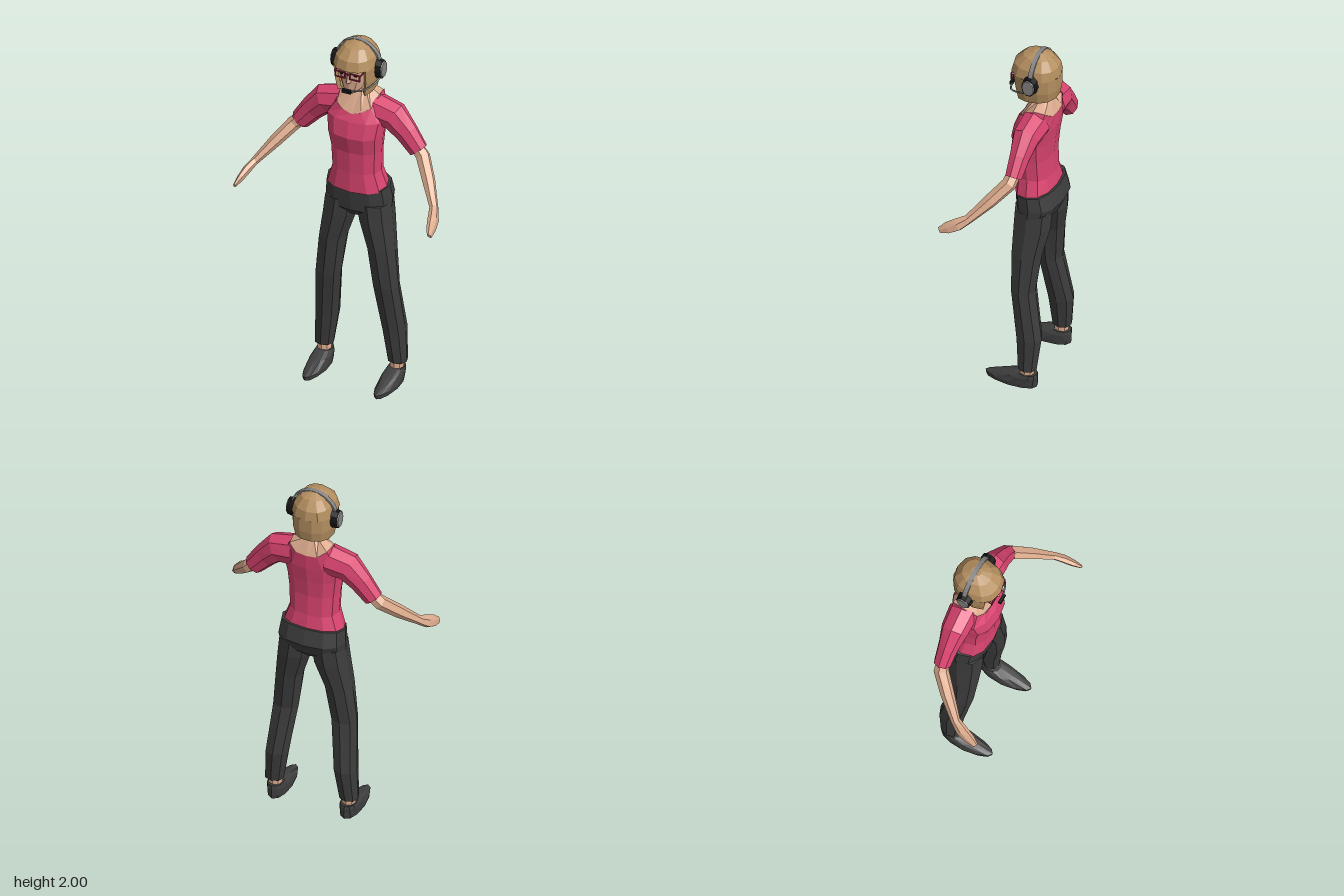
import * as THREE from 'three';

const V = (x, y, z) => new THREE.Vector3(x, y, z);
const mat = (name, color, side = THREE.FrontSide) => {
  const m = new THREE.MeshStandardMaterial({ color, side });
  m.name = name;
  return m;
};

// Faceted skin over a list of equal cross-sections, capped when closed
function loft(rings, closed = true) {
  const pos = [], n = rings[0].length;
  const tri = (...p) => p.forEach(v => pos.push(v.x, v.y, v.z));
  for (let r = 0; r < rings.length - 1; r++) {
    const A = rings[r], B = rings[r + 1];
    for (let i = 0; i < (closed ? n : n - 1); i++) {
      const j = (i + 1) % n;
      tri(A[i], A[j], B[j]);
      tri(A[i], B[j], B[i]);
    }
  }
  if (closed) {
    const mid = R => R.reduce((s, p) => s.add(p), V(0, 0, 0)).divideScalar(n);
    const A = rings[0], B = rings[rings.length - 1], a = mid(A), b = mid(B);
    for (let i = 0; i < n; i++) {
      const j = (i + 1) % n;
      tri(a, A[j], A[i]);
      tri(b, B[i], B[j]);
    }
  }
  const g = new THREE.BufferGeometry();
  g.setAttribute('position', new THREE.Float32BufferAttribute(pos, 3));
  g.computeVertexNormals();
  return g;
}

// Point on a rounded horizontal section; tilt raises the back
function onRing(a, y, cx, rx, zf, zb, tilt = 0, p = 0.85) {
  const s = Math.sin(a), c = Math.cos(a);
  const k = v => Math.sign(v) * Math.abs(v) ** p;
  return V(cx + rx * k(s), y + tilt * (1 - c) / 2, (zf + zb) / 2 + (zf - zb) / 2 * k(c));
}
const ring = (n, ...args) =>
  Array.from({ length: n }, (_, i) => onRing(i / n * Math.PI * 2, ...args));
const stack = (n, rows) => loft(rows.map(r => ring(n, ...r)));

// Limb along a path of [x, y, z, radius up/out, radius front/back]
function limb(path, n = 8) {
  const P = path.map(p => V(p[0], p[1], p[2]));
  return loft(path.map((p, i) => {
    const t = P[Math.min(i + 1, P.length - 1)].clone().sub(P[Math.max(i - 1, 0)]).normalize();
    const u = V(0, 0, 1).cross(t).normalize(), v = t.clone().cross(u);
    return Array.from({ length: n }, (_, k) => {
      const a = k / n * Math.PI * 2;
      return P[i].clone().addScaledVector(u, p[3] * Math.cos(a)).addScaledVector(v, p[4] * Math.sin(a));
    });
  }));
}

// Mirror across x, restoring the corner order
function mirror(geo) {
  const g = geo.index ? geo.toNonIndexed() : geo.clone();
  const p = g.attributes.position;
  for (let i = 0; i < p.count; i += 3) {
    const a = [0, 2, 1].map(k => [-p.getX(i + k), p.getY(i + k), p.getZ(i + k)]);
    a.forEach((v, k) => p.setXYZ(i + k, ...v));
  }
  g.computeVertexNormals();
  return g;
}

export function createModel() {
  const model = new THREE.Group();
  model.name = 'woman';
  const skin = mat('skin', 0xdcab8d), hair = mat('hair', 0xb58f60, THREE.DoubleSide);
  const pink = mat('shirt pink', 0xd9446f, THREE.DoubleSide), dark = mat('trouser grey', 0x3c3c3c);
  const shoeGrey = mat('shoe grey', 0x3f3f40), metal = mat('headset grey', 0x858585);
  const black = mat('black', 0x151515), frame = mat('glasses red', 0xa3204c);
  const add = (name, geo, m) => {
    const mesh = new THREE.Mesh(geo, m);
    mesh.name = name;
    model.add(mesh);
    return mesh;
  };
  const pair = (name, geo, m) => {
    add('left' + name, geo, m);
    add('right' + name, mirror(geo), m);
  };

  // Shirt body with an open scooped neckline
  const half = [[0, 1.595, 0.005], [0.055, 1.612, 0], [0.1, 1.635, -0.025], [0.115, 1.69, -0.1],
    [0.108, 1.685, -0.165], [0.06, 1.65, -0.187], [0, 1.645, -0.19]].map(p => V(...p));
  const neckline = [...half, ...half.slice(1, 6).reverse().map(p => V(-p.x, p.y, p.z))];
  const body = [
    [1.135, 0, 0.168, 0.022, -0.188, 0.035], [1.25, 0, 0.135, 0.02, -0.172], [1.37, 0, 0.14, 0.024, -0.166],
    [1.47, 0, 0.152, 0.05, -0.176], [1.56, 0, 0.165, 0.03, -0.188],
  ].map(r => ring(12, ...r));
  const wrap = r => [...r, r[0]];
  add('shirtBody', loft([...body, neckline].map(wrap), false), pink);

  // Sleeves and arms
  pair('Sleeve', limb([[0.09, 1.6, -0.105, 0.088, 0.08], [0.2, 1.58, -0.1, 0.082, 0.073],
    [0.27, 1.505, -0.098, 0.066, 0.055], [0.34, 1.418, -0.095, 0.054, 0.046]]), pink);
  pair('Arm', limb([[0.31, 1.455, -0.096, 0.036, 0.036], [0.37, 1.395, -0.085, 0.038, 0.04],
    [0.44, 1.31, -0.01, 0.033, 0.037], [0.52, 1.208, 0.085, 0.02, 0.025]], 6), skin);
  pair('Hand', limb([[0.515, 1.215, 0.078, 0.02, 0.026], [0.538, 1.18, 0.13, 0.022, 0.037],
    [0.55, 1.152, 0.18, 0.018, 0.034], [0.56, 1.13, 0.222, 0.009, 0.018]], 6), skin);

  // Upper chest and neck
  add('neck', loft([
    neckline.map(p => V(p.x * 0.97, p.y - 0.012, -0.1 + (p.z + 0.1) * 0.96)),
    neckline.map(p => V(p.x * 0.97, p.y - 0.002, -0.1 + (p.z + 0.1) * 0.96)),
    ring(12, 1.715, 0, 0.048, -0.058, -0.152, 0.01), ring(12, 1.8, 0, 0.045, -0.045, -0.14),
  ]), skin);

  // Trousers
  add('hips', stack(12, [
    [0.975, 0, 0.1, -0.03, -0.15], [1.02, 0, 0.185, 0.008, -0.195], [1.09, 0, 0.186, 0.014, -0.226],
    [1.145, 0, 0.177, 0.016, -0.2, 0.035]]), dark);
  const leg = [[0.115, 0.16, 0.262, -0.065, -0.166], [0.3, 0.132, 0.255, -0.048, -0.186],
    [0.58, 0.095, 0.236, -0.008, -0.138], [0.8, 0.066, 0.213, 0.006, -0.163],
    [0.96, 0.014, 0.194, 0.01, -0.195], [1.06, 0.0, 0.183, 0.008, -0.2]];
  pair('TrouserLeg', stack(8, leg.map(([y, xi, xo, zf, zb]) => [y, (xi + xo) / 2, (xo - xi) / 2, zf, zb])), dark);

  // Ankles and shoes, with tapered toes
  pair('Ankle', stack(8, [[0.05, 0.207, 0.038, -0.07, -0.152], [0.15, 0.21, 0.036, -0.078, -0.15]]), skin);
  const shoe = [[0, 0.205, 0.05, 0.122, -0.165], [0.022, 0.205, 0.053, 0.126, -0.17],
    [0.06, 0.206, 0.05, 0.015, -0.17], [0.082, 0.207, 0.042, -0.055, -0.165]].map(r => ring(12, ...r));
  shoe.flat().forEach(p => { p.x = 0.205 + (p.x - 0.205) * (1 - 0.3 * Math.max(0, p.z / 0.12)); });
  pair('Shoe', loft(shoe), shoeGrey);

  // Face
  add('head', stack(12, [
    [1.728, 0, 0.028, 0.018, -0.05], [1.755, 0, 0.055, 0.03, -0.1], [1.8, 0, 0.076, 0.034, -0.15],
    [1.86, 0, 0.088, 0.035, -0.165], [1.93, 0, 0.08, 0.025, -0.15]]), skin);
  add('nose', stack(4, [[1.792, 0, 0.012, 0.036, 0.01], [1.802, 0, 0.015, 0.055, 0.01],
    [1.86, 0, 0.007, 0.04, 0.01]]), skin);

  // Hair: crown with a fringe, and a bob open at the face
  add('hairCrown', stack(12, [
    [1.878, 0, 0.116, 0.062, -0.202], [1.93, 0, 0.104, 0.048, -0.193],
    [1.978, 0, 0.067, 0.0, -0.158], [1.997, 0, 0.025, -0.055, -0.11]]), hair);
  const bob = [[1.725, 0, 0.075, 0.0, -0.14, 0.02], [1.715, 0, 0.098, 0.035, -0.19, 0.03],
    [1.8, 0, 0.112, 0.05, -0.2], [1.88, 0, 0.116, 0.062, -0.202]].map(r => {
    const strip = Array.from({ length: 10 }, (_, i) => onRing((50 + i * 260 / 9) * Math.PI / 180, ...r));
    const tuck = p => V(p.x * 0.8, p.y, p.z - 0.015);
    return [tuck(strip[0]), ...strip, tuck(strip[9])];
  });
  add('hairBob', loft(bob, false), hair);

  // Glasses and eyes
  const box = (name, m, w, h, d, x, y, z) => add(name, new THREE.BoxGeometry(w, h, d), m).position.set(x, y, z);
  for (const s of [-1, 1]) {
    for (const dy of [-0.016, 0.016]) box('glassesRim', frame, 0.06, 0.006, 0.006, s * 0.042, 1.845 + dy, 0.045);
    for (const dx of [-0.028, 0.028]) box('glassesSide', frame, 0.006, 0.036, 0.006, s * 0.042 + dx, 1.845, 0.045);
    box('glassesTemple', frame, 0.005, 0.006, 0.08, s * 0.074, 1.86, 0.006);
    box('eye', black, 0.018, 0.008, 0.006, s * 0.04, 1.847, 0.034);
  }
  box('glassesBridge', frame, 0.03, 0.006, 0.006, 0, 1.853, 0.045);

  // Headset: band, ear cups, boom and microphone
  const arc = new THREE.Shape();
  arc.absellipse(0, 0, 0.131, 0.133, 0, Math.PI, false);
  arc.absellipse(0, 0, 0.122, 0.124, Math.PI, 0, true);
  add('headband', new THREE.ExtrudeGeometry(arc, { depth: 0.025, bevelEnabled: false, curveSegments: 8 }), metal)
    .position.set(0, 1.867, -0.1);
  const cup = (r, w, x) => new THREE.CylinderGeometry(r * 0.9, r, w, 10).toNonIndexed()
    .rotateZ(-Math.PI / 2).scale(1, 1.35, 1).translate(x, 1.855, -0.085);
  for (const [name, r, w, x, m] of [['EarPad', 0.043, 0.036, 0.124, black], ['EarCup', 0.036, 0.007, 0.1445, metal]]) {
    const g = cup(r, w, x);
    g.computeVertexNormals();
    pair(name, g, m);
  }
  const path = new THREE.CatmullRomCurve3([V(0.142, 1.82, -0.075), V(0.118, 1.792, -0.01),
    V(0.09, 1.777, 0.035), V(0.02, 1.766, 0.062)]);
  add('micBoom', new THREE.TubeGeometry(path, 8, 0.005, 5), metal);
  box('microphone', black, 0.052, 0.02, 0.016, 0.005, 1.765, 0.064);

  return model;
}
